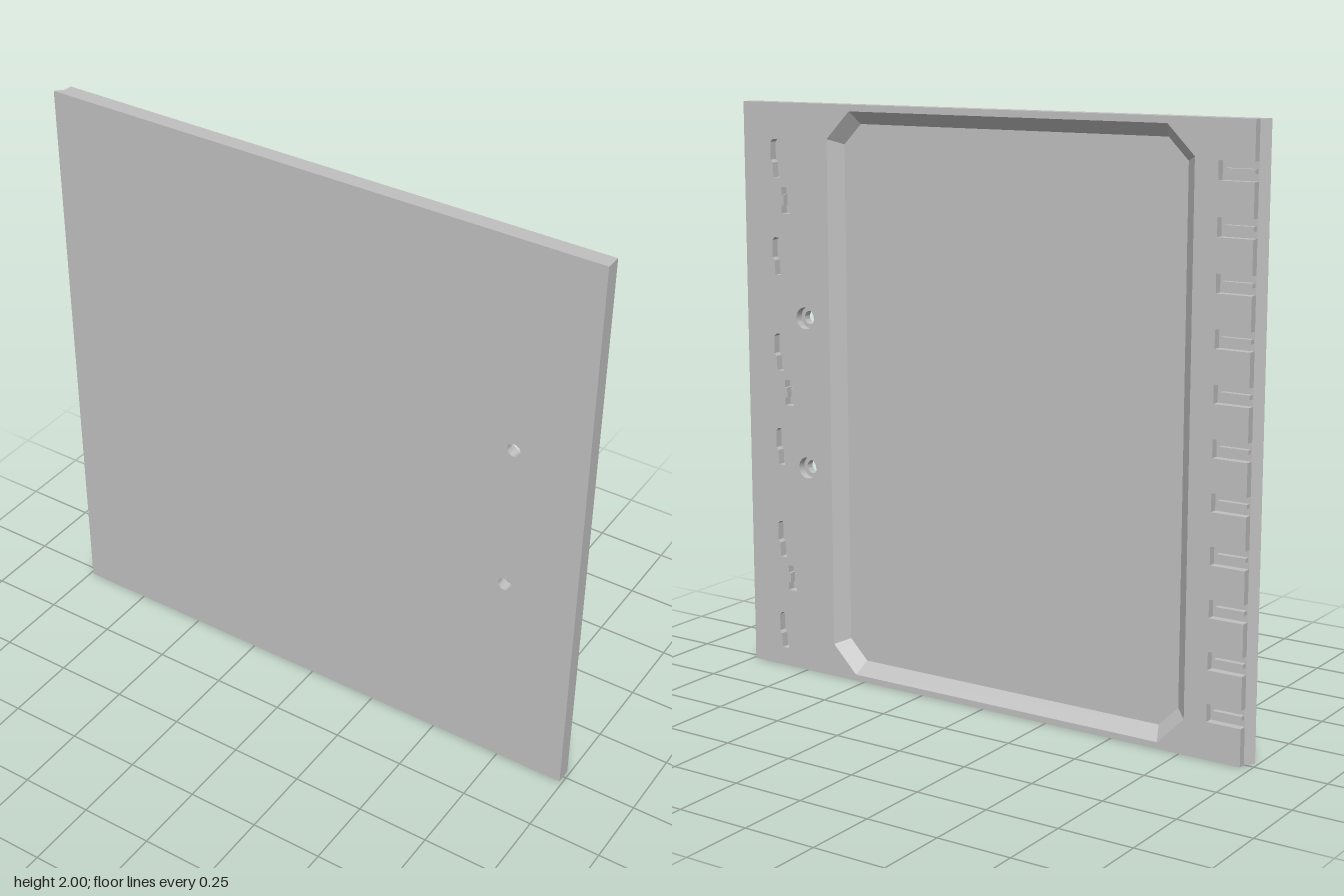
import * as THREE from 'three';
import { toCreasedNormals } from 'three/addons/utils/BufferGeometryUtils.js';

const BACK = -0.0275, MID = 0, FLOOR = 0.015, FRONT = 0.0275;
const EDGE = -0.965, SIDE = 0.99;

// Loops are lists of [x, y], counter-clockwise as seen from the front.
const rect = (x0, y0, x1, y1) => [[x0, y0], [x1, y0], [x1, y1], [x0, y1]];
const circle = (cx, cy, r, n = 24) => Array.from({ length: n }, (_, i) => {
  const a = (i / n) * Math.PI * 2;
  return [cx + r * Math.cos(a), cy + r * Math.sin(a)];
});
const chamfered = (x0, y0, x1, y1, c) => [
  [x0 + c, y0], [x1 - c, y0], [x1, y0 + c], [x1, y1 - c],
  [x1 - c, y1], [x0 + c, y1], [x0, y1 - c], [x0, y0 + c]];
const at = (loop, x, y) => loop.map(p => [p[0] + x, p[1] + y]);

// Flat face at depth z with holes, facing the front or the back
function cap(loop, z, holes = [], facesBack = true) {
  const v = l => l.map(p => new THREE.Vector2(p[0], p[1]));
  const shape = new THREE.Shape(v(loop));
  shape.holes = holes.map(h => new THREE.Path(v(h)));
  const g = new THREE.ShapeGeometry(shape);
  if (facesBack) {
    g.index.array.reverse();
    g.computeVertexNormals();
  }
  return g.translate(0, 0, z);
}

// Wall joining loop a at z0 to loop b at z1; inward for pockets
function wall(a, z0, b, z1, inward = true) {
  const pos = [];
  for (let i = 0; i < a.length; i++) {
    const j = (i + 1) % a.length;
    const q = [[...a[i], z0], [...a[j], z0], [...b[j], z1], [...b[i], z1]];
    if (inward) q.reverse();
    for (const k of [0, 1, 2, 0, 2, 3]) pos.push(...q[k]);
  }
  const g = new THREE.BufferGeometry();
  g.setAttribute('position', new THREE.Float32BufferAttribute(pos, 3));
  return toCreasedNormals(g, Math.PI / 6);
}

export function createModel() {
  const model = new THREE.Group();
  const grey = new THREE.MeshStandardMaterial({ color: 0xc0c0c0 });
  grey.name = 'grey';
  const add = (name, g) => {
    const m = new THREE.Mesh(g, grey);
    m.name = name;
    model.add(m);
    return m;
  };
  const pocket = (name, loop, depth) => {
    add(name + 'Wall', wall(loop, BACK, loop, depth));
    add(name + 'Floor', cap(loop, depth));
  };

  // Back outline, with eleven notches open to the bevelled edge
  const notchYs = Array.from({ length: 11 }, (_, i) => 0.155 + 0.169 * i);
  const h = 0.03, notchIn = -0.845;
  const outline = [[EDGE, 0], [SIDE, 0], [SIDE, 2], [EDGE, 2]];
  for (const y of [...notchYs].reverse()) {
    outline.push([EDGE, y + h], [notchIn, y + h], [notchIn, y - h], [EDGE, y - h]);
  }
  add('rimWall', wall(outline, BACK, outline, MID, false));
  for (const y of notchYs) {
    add('notchFloor', cap(rect(EDGE, y - h, notchIn, y + h), MID));
    add('notchRib', new THREE.BoxGeometry(0.1, 0.014, 0.018))
      .position.set(-0.912, y, -0.009);
  }

  // Front slab flaring out to the thin bevelled lip
  const frontLoop = rect(-SIDE, 0, SIDE, 2);
  add('bevelledRim', wall(rect(EDGE, 0, SIDE, 2), MID, frontLoop, FRONT, false));

  // Large recess with sloping walls
  const inset = 0.043;
  const outer = chamfered(-0.765, 0.022, 0.63, 1.978, 0.095);
  const inner = chamfered(-0.765 + inset, 0.022 + inset, 0.63 - inset, 1.978 - inset, 0.07);
  add('recessWall', wall(outer, BACK, inner, FLOOR));
  add('recessFloor', cap(inner, FLOOR));
  const backHoles = [outer];

  // Keyhole pockets
  const keyhole = [[-0.013, -0.065], [0.013, -0.065], [0.016, -0.015], [0.024, -0.005],
    [0.024, 0.055], [0.014, 0.065], [-0.014, 0.065], [-0.024, 0.055], [-0.024, -0.005], [-0.016, -0.015]];
  for (let i = 0; i < 6; i++) {
    const loop = at(keyhole, 0.85, 0.13 + 0.336 * i);
    backHoles.push(loop);
    pocket('keyhole', loop, MID);
  }

  // Small waisted slots
  const waisted = [[-0.018, -0.045], [0.018, -0.045], [0.018, -0.018], [0.009, -0.018],
    [0.009, 0.018], [0.018, 0.018], [0.018, 0.045], [-0.018, 0.045],
    [-0.018, 0.018], [-0.009, 0.018], [-0.009, -0.018], [-0.018, -0.018]];
  for (const y of [0.328, 0.998, 1.668]) {
    const loop = at(waisted, 0.812, y);
    backHoles.push(loop);
    pocket('waistedSlot', loop, MID);
  }

  // Through holes, counterbored from the back
  const frontHoles = [];
  for (const y of [0.739, 1.267]) {
    const bore = circle(0.735, y, 0.038), hole = circle(0.735, y, 0.023);
    backHoles.push(bore);
    frontHoles.push(hole);
    add('counterboreWall', wall(bore, BACK, bore, MID));
    add('counterboreSeat', cap(bore, MID, [hole]));
    add('throughHole', wall(hole, MID, hole, FRONT));
  }

  add('frontFace', cap(frontLoop, FRONT, frontHoles, false));
  add('backFace', cap(outline, BACK, backHoles));
  return model;
}
